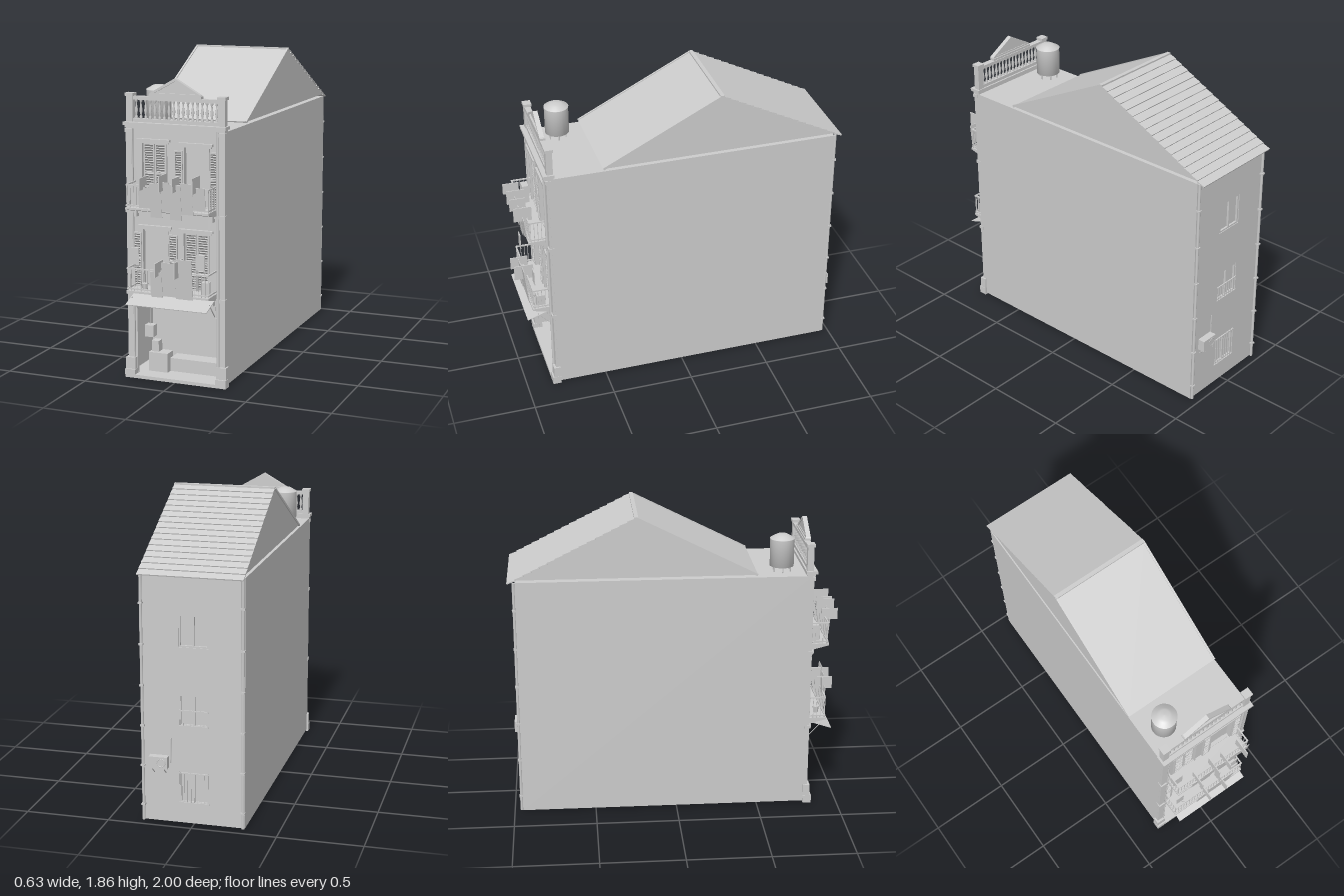
import * as THREE from 'three';

export function createModel() {
  const model = new THREE.Group();
  model.name = 'townhouse';
  const plaster = new THREE.MeshStandardMaterial({ color: 0xcccccc, side: THREE.DoubleSide });
  plaster.name = 'grey plaster';

  const add = (name, geo, x = 0, y = 0, z = 0, parent = model) => {
    const m = new THREE.Mesh(geo, plaster);
    m.name = name;
    m.position.set(x, y, z);
    parent.add(m);
    return m;
  };
  // Box given by its limits on each axis
  const box = (name, x0, x1, y0, y1, z0, z1, parent = model) =>
    add(name, new THREE.BoxGeometry(x1 - x0, y1 - y0, z1 - z0), (x0 + x1) / 2, (y0 + y1) / 2, (z0 + z1) / 2, parent);
  const rod = (name, a, b, r, sides = 8) => {
    const p = new THREE.Vector3(...a), q = new THREE.Vector3(...b), d = q.clone().sub(p);
    const m = add(name, new THREE.CylinderGeometry(r, r, d.length(), sides));
    m.position.copy(p).add(q).multiplyScalar(0.5);
    m.quaternion.setFromUnitVectors(new THREE.Vector3(0, 1, 0), d.normalize());
    return m;
  };
  const rectHole = (x0, x1, y0, y1) =>
    new THREE.Path([[x0, y0], [x0, y1], [x1, y1], [x1, y0]].map(p => new THREE.Vector2(...p)));
  const poly = pts => new THREE.Shape(pts.map(p => new THREE.Vector2(...p)));
  // Wall sheet with rectangular openings
  const wall = (name, x0, x1, y0, y1, z0, z1, holes) => {
    const s = poly([[x0, y0], [x1, y0], [x1, y1], [x0, y1]]);
    holes.forEach(h => s.holes.push(rectHole(...h)));
    return add(name, new THREE.ExtrudeGeometry(s, { depth: z1 - z0, bevelEnabled: false }), 0, 0, z0);
  };

  // Main walls, open underneath, and the flat terrace
  for (const s of [-1, 1])
    box('sideWall', s * 0.303 - 0.002, s * 0.303 + 0.002, 0.01, 1.475, -0.945, 0.805);
  box('terrace', -0.305, 0.305, 1.47, 1.478, -0.945, 0.81);

  // Gabled roof floating just above the walls
  const ridge = [-0.235, 1.855], frontEave = [0.48, 1.495], backEave = [-0.99, 1.475];
  for (const s of [-1, 1]) {
    const gable = add('gable', new THREE.ShapeGeometry(poly([[-0.47, 1.492], [0.94, 1.492], [0.235, 1.85]])), s * 0.3, 0, 0);
    gable.rotation.y = Math.PI / 2;
    gable.geometry.dispose();
    // rotated shape x runs along -z
    gable.geometry = new THREE.ShapeGeometry(poly([[-0.475, 1.492], [0.945, 1.492], [0.235, 1.85]]));
  }
  const slab = (name, a, b, w, t, x = 0, lift = 0) => {
    const dz = b[0] - a[0], dy = b[1] - a[1];
    const m = add(name, new THREE.BoxGeometry(w, t, Math.hypot(dz, dy)), x, (a[1] + b[1]) / 2 + lift, (a[0] + b[0]) / 2);
    m.rotation.x = -Math.atan2(dy, dz);
    return m;
  };
  slab('frontSlope', ridge, frontEave, 0.61, 0.008, 0, -0.005);
  for (const s of [-1, 1]) slab('slopeEdge', ridge, frontEave, 0.012, 0.014, s * 0.3, -0.003);
  const rows = 16;
  const at = t => [ridge[0] + (backEave[0] - ridge[0]) * t, ridge[1] + (backEave[1] - ridge[1]) * t];
  for (let i = 0; i < rows; i++) {
    const low = at((i + 1.1) / rows), high = at(i / rows);
    slab('tileRow', [low[0], low[1] + 0.001], [high[0], high[1] - 0.006], 0.61, 0.007);
  }
  box('ridgeCap', -0.305, 0.305, 1.845, 1.858, -0.247, -0.223);

  // Street facade with a shop opening and four balcony doors
  const doors = [
    { x0: -0.205, x1: -0.06, y0: 1.04, y1: 1.39, closed: true }, { x0: 0.055, x1: 0.2, y0: 1.04, y1: 1.38 },
    { x0: -0.205, x1: -0.055, y0: 0.55, y1: 0.89 }, { x0: 0.05, x1: 0.2, y0: 0.55, y1: 0.885, closed: true }];
  wall('facade', -0.305, 0.305, 0.01, 1.475, 0.785, 0.805,
    [[-0.25, 0.25, 0.02, 0.46], ...doors.map(d => [d.x0, d.x1, d.y0, d.y1])]);
  const shutter = (x0, x1, y0, y1, z) => {
    const g = new THREE.Group();
    g.name = 'shutter';
    model.add(g);
    for (const x of [x0, x1 - 0.007]) box('stile', x, x + 0.007, y0, y1, z, z + 0.01, g);
    for (const y of [y0, (y0 + y1) / 2, y1 - 0.01]) box('rail', x0, x1, y, y + 0.01, z, z + 0.01, g);
    for (let y = y0 + 0.014; y < y1 - 0.01; y += 0.014)
      add('slat', new THREE.BoxGeometry(x1 - x0 - 0.012, 0.003, 0.014), (x0 + x1) / 2, y, z + 0.004, g).rotation.x = -0.8;
  };
  for (const d of doors) {
    const mid = (d.x0 + d.x1) / 2;
    box('doorPanel', d.x0, d.x1, d.y0, d.y1, 0.775, 0.782);
    for (const x of [d.x0 - 0.008, d.x1]) box('doorFrame', x, x + 0.008, d.y0, d.y1, 0.8, 0.814);
    box('doorLintel', d.x0 - 0.02, d.x1 + 0.02, d.y1, d.y1 + 0.012, 0.8, 0.816);
    box('doorCornice', d.x0 - 0.03, d.x1 + 0.03, d.y1 + 0.012, d.y1 + 0.026, 0.8, 0.825);
    if (d.closed) {
      shutter(d.x0 + 0.004, mid - 0.002, d.y0, d.y1, 0.79);
      shutter(mid + 0.002, d.x1 - 0.004, d.y0, d.y1, 0.79);
    } else {
      shutter(d.x0 - 0.06, d.x0 - 0.01, d.y0, d.y1 - 0.02, 0.807);
      shutter(d.x1 + 0.01, d.x1 + 0.065, d.y0, d.y1 - 0.02, 0.807);
    }
  }

  // Corner pilasters, plinths and horizontal mouldings
  for (const s of [-1, 1]) {
    const px = (n, c, w, y0, y1, z) => box(n, s * c - w, s * c + w, y0, y1, 0.79, z);
    px('pilaster', 0.283, 0.021, 0.02, 1.46, 0.818);
    px('plinth', 0.285, 0.03, 0, 0.12, 0.832);
    px('plinthFoot', 0.285, 0.032, 0, 0.05, 0.842);
    for (const y of [0.5, 0.985, 1.45]) px('capital', 0.284, 0.024, y, y + 0.02, 0.826);
    rod('frontPipe', [s * 0.262, 0.02, 0.822], [s * 0.262, 1.48, 0.822], s > 0 ? 0.009 : 0.004);
    rod('backPipe', [s * 0.295, 0.01, -0.957], [s * 0.295, 1.475, -0.957], 0.009);
    for (let y = 0.1; y < 1.5; y += 0.24)
      box('pipeClip', s * 0.295 - 0.012, s * 0.295 + 0.012, y, y + 0.01, -0.97, -0.945);
  }
  box('shopBand', -0.305, 0.305, 0.505, 0.52, 0.79, 0.822);
  box('floorBand', -0.305, 0.305, 0.985, 1.0, 0.79, 0.822);
  box('corniceLower', -0.306, 0.306, 1.475, 1.49, 0.775, 0.825);
  box('corniceUpper', -0.314, 0.314, 1.49, 1.508, 0.77, 0.838);

  // Parapet balustrade with pediment
  for (const s of [-1, 1]) {
    box('parapetPost', s * 0.282 - 0.02, s * 0.282 + 0.02, 1.508, 1.655, 0.775, 0.813);
    box('postCap', s * 0.282 - 0.026, s * 0.282 + 0.026, 1.655, 1.672, 0.769, 0.819);
  }
  box('parapetBase', -0.27, 0.27, 1.508, 1.528, 0.78, 0.808);
  box('parapetRail', -0.27, 0.27, 1.635, 1.655, 0.776, 0.812);
  const baluster = new THREE.LatheGeometry([[0.008, 0], [0.008, 0.012], [0.004, 0.02], [0.0095, 0.045],
    [0.005, 0.075], [0.004, 0.09], [0.008, 0.097], [0.008, 0.107]].map(p => new THREE.Vector2(...p)), 10);
  for (let i = 0; i < 18; i++) add('baluster', baluster, -0.246 + i * 0.492 / 17, 1.528, 0.794);
  const pediment = poly([[-0.155, 1.668], [0.155, 1.668], [0, 1.758]]);
  add('pedimentPanel', new THREE.ExtrudeGeometry(pediment, { depth: 0.012, bevelEnabled: false }), 0, 0, 0.79);
  const rim = poly([[-0.16, 1.666], [0.16, 1.666], [0.155, 1.676], [0, 1.765], [-0.155, 1.676]]);
  rim.holes.push(new THREE.Path([[-0.125, 1.678], [0, 1.748], [0.125, 1.678]].map(p => new THREE.Vector2(...p))));
  add('pedimentRim', new THREE.ExtrudeGeometry(rim, { depth: 0.028, bevelEnabled: false }), 0, 0, 0.786);
  box('pedimentBase', -0.16, 0.16, 1.655, 1.668, 0.78, 0.814);

  // Water tank on legs
  add('waterTank', new THREE.LatheGeometry([[0, 0], [0.072, 0], [0.072, 0.165], [0.074, 0.168], [0.045, 0.185], [0.03, 0.193], [0, 0.195]]
    .map(p => new THREE.Vector2(...p)), 28), -0.175, 1.512, 0.64);
  for (let i = 0; i < 6; i++) {
    const a = i * Math.PI / 3, x = -0.175 + 0.055 * Math.cos(a), z = 0.64 + 0.055 * Math.sin(a);
    rod('tankLeg', [x, 1.478, z], [x, 1.513, z], 0.004);
  }

  // Balconies with railings and hanging sheets
  const balcony = (y, sheets, signs) => {
    const side = poly([[-0.805, y - 0.035], [-0.84, y - 0.035], [-0.93, y - 0.012], [-0.93, y], [-0.805, y]]);
    add('balconySlab', new THREE.ExtrudeGeometry(side, { depth: 0.51, bevelEnabled: false }), -0.26).rotation.y = Math.PI / 2;
    for (const h of [0.012, 0.13]) {
      box('handrail', -0.258, 0.248, y + h - 0.004, y + h + 0.004, 0.917, 0.925);
      for (const x of [-0.258, 0.24]) box('sideRail', x, x + 0.008, y + h - 0.004, y + h + 0.004, 0.805, 0.925);
    }
    for (let i = 0; i <= 24; i++) box('railBar', -0.256 + i * 0.0208, -0.253 + i * 0.0208, y, y + 0.13, 0.919, 0.922);
    for (let i = 0; i < 5; i++) for (const x of [-0.256, 0.242])
      box('sideBar', x, x + 0.004, y, y + 0.13, 0.825 + i * 0.022, 0.828 + i * 0.022);
    for (const x of [-0.24, 0, 0.23]) box('corbel', x - 0.008, x + 0.008, y - 0.07, y - 0.03, 0.805, 0.84);
    for (const [x0, x1, y0, y1] of sheets)
      add('hangingSheet', new THREE.BoxGeometry(x1 - x0, y1 - y0, 0.004), (x0 + x1) / 2, (y0 + y1) / 2, 0.941).rotation.x = 0.1;
    for (const [x, y0, y1, z0] of signs) box('projectingPanel', x - 0.003, x + 0.003, y0, y1, z0, 0.998);
  };
  balcony(1.035, [[-0.17, -0.1, 1.04, 1.16], [-0.1, -0.03, 0.99, 1.19], [-0.03, 0.02, 1.03, 1.2], [0.02, 0.09, 0.985, 1.19],
    [0.09, 0.16, 1.02, 1.2], [0.16, 0.235, 1.05, 1.18]],
  [[-0.14, 1.15, 1.22, 0.9], [-0.02, 1.15, 1.24, 0.89], [0.06, 1.15, 1.23, 0.9], [0.18, 1.15, 1.24, 0.89]]);
  balcony(0.55, [[-0.1, -0.03, 0.53, 0.68], [-0.03, 0.05, 0.54, 0.74], [0.05, 0.155, 0.53, 0.765]],
    [[-0.05, 0.66, 0.74, 0.89], [0.07, 0.66, 0.755, 0.88]]);
  box('hangingCloth', 0.16, 0.215, 0.7, 0.79, 0.9, 0.905);
  box('hangingCloth', -0.24, -0.19, 0.7, 0.8, 0.9, 0.905);
  box('balconyCrate', -0.25, -0.19, 1.035, 1.15, 0.83, 0.87);
  box('balconyCrate', 0.19, 0.235, 0.55, 0.63, 0.85, 0.9);
  add('flowerPot', new THREE.CylinderGeometry(0.02, 0.014, 0.04, 12), -0.165, 0.57, 0.88);

  // Shop awning with a scalloped strip behind it
  slab('awning', [0.815, 0.525], [0.965, 0.475], 0.5, 0.004);
  for (const x of [-0.24, 0.24]) rod('awningStrut', [x, 0.415, 0.815], [x, 0.507, 0.9], 0.003);
  box('valance', -0.25, 0.245, 0.45, 0.472, 0.81, 0.813);
  for (let i = 0; i < 18; i++)
    add('scallop', new THREE.CircleGeometry(0.0135, 8, Math.PI, Math.PI), -0.235 + i * 0.0275, 0.45, 0.812);

  // Shop room and its furniture
  box('shopFloor', -0.3, 0.3, 0.012, 0.02, 0.48, 0.805);
  box('shopBackWall', -0.3, 0.3, 0.012, 0.5, 0.478, 0.484);
  box('shopCeiling', -0.3, 0.3, 0.495, 0.5, 0.48, 0.79);
  box('doorstep', -0.255, 0.255, 0, 0.02, 0.8, 0.842);
  box('counter', -0.09, 0.25, 0.02, 0.1, 0.6, 0.7);
  box('lowShelf', -0.21, -0.09, 0.02, 0.135, 0.66, 0.74);
  box('till', -0.2, -0.155, 0.135, 0.2, 0.67, 0.72);
  box('wallCabinet', -0.23, -0.175, 0.23, 0.3, 0.7, 0.75);
  rod('cabinetCord', [-0.203, 0.3, 0.725], [-0.203, 0.46, 0.725], 0.002);
  box('meterBox', 0.205, 0.23, 0.36, 0.375, 0.7, 0.72);

  // Rear wall with three windows, bars and a cooling unit
  const wx0 = -0.095, wx1 = 0.08;
  const sills = [0.13, 0.595, 1.06];
  wall('backWall', -0.305, 0.305, 0.01, 1.475, -0.949, -0.941, sills.map(y => [wx0, wx1, y, y + 0.19]));
  sills.forEach((y, i) => {
    box('windowPane', wx0, wx1, y, y + 0.19, -0.933, -0.929);
    for (const x of [wx0, (wx0 + wx1) / 2 - 0.005, wx1 - 0.01]) box('windowStile', x, x + 0.01, y, y + 0.19, -0.945, -0.93);
    for (const h of [0, 0.18]) box('windowRail', wx0, wx1, y + h, y + h + 0.01, -0.945, -0.93);
    if (i === 2) return;
    const top = i === 0 ? 0.19 : 0.1;
    for (let k = 0; k <= 8; k++) {
      const x = wx0 + 0.006 + k * (wx1 - wx0 - 0.012) / 8;
      box('windowBar', x - 0.002, x + 0.002, y, y + top, -0.956, -0.952);
    }
    for (const h of [0.005, top - 0.005]) box('barRail', wx0, wx1, y + h - 0.003, y + h + 0.003, -0.957, -0.949);
  });
  box('coolingUnit', 0.14, 0.25, 0.345, 0.415, -0.998, -0.955);
  add('coolingFan', new THREE.TorusGeometry(0.024, 0.003, 6, 20), 0.175, 0.38, -0.997);
  for (const x of [0.16, 0.23]) {
    box('unitBracket', x - 0.003, x + 0.003, 0.338, 0.345, -0.998, -0.945);
    rod('unitBrace', [x, 0.34, -0.99], [x, 0.305, -0.947], 0.003);
  }
  rod('coolingPipe', [0.13, 0.37, -0.953], [0.13, 0.52, -0.953], 0.004);
  return model;
}
